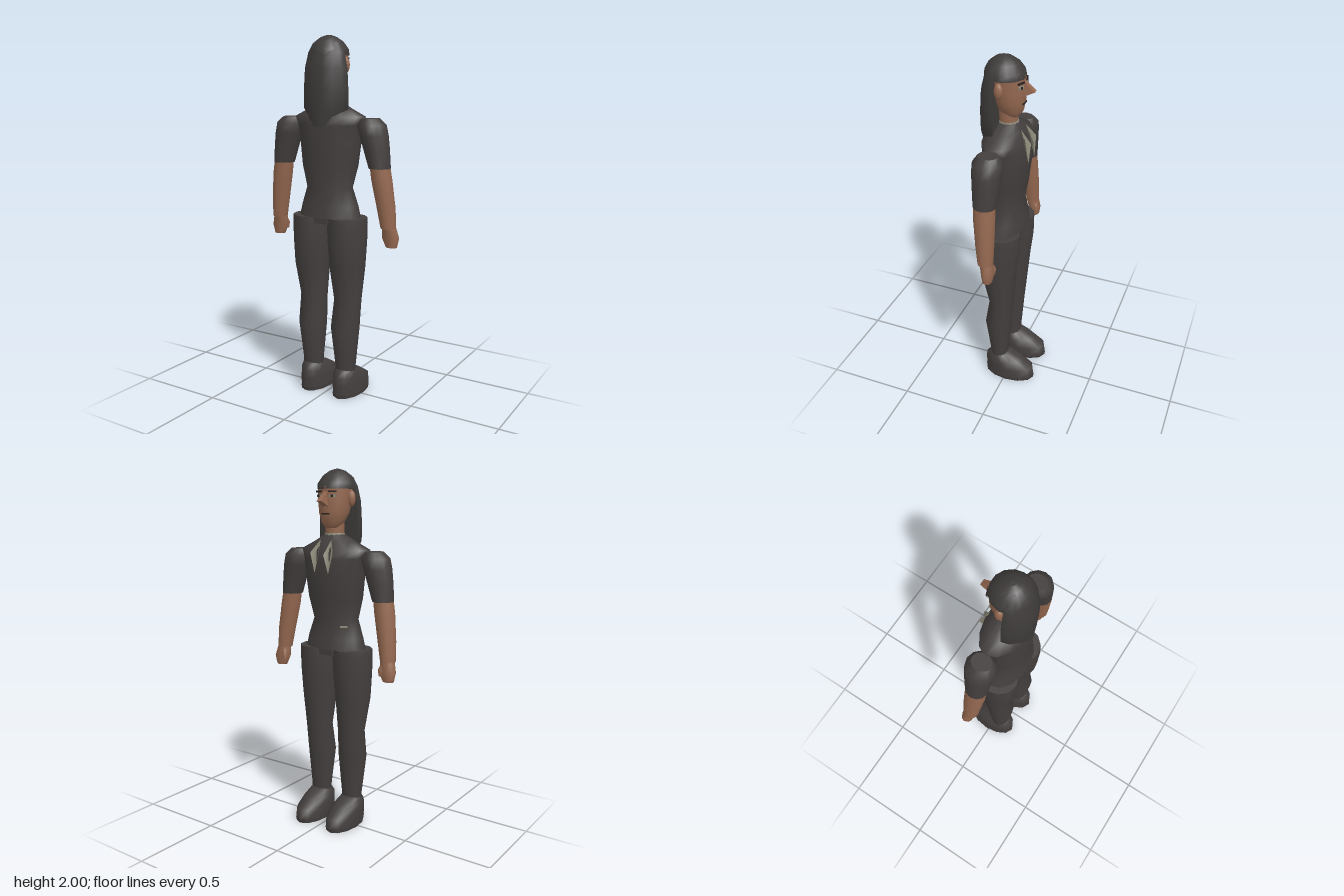
import * as THREE from 'three';
import { ConvexGeometry } from 'three/addons/geometries/ConvexGeometry.js';

const material = (name, color, side = THREE.FrontSide) => {
  const m = new THREE.MeshStandardMaterial({ color, side });
  m.name = name;
  return m;
};

// Stacks elliptical rings [cx, y, cz, rx, rz] from bottom to top; minZ flattens the -z side.
function loft(rings, sides = 12, minZ = -Infinity) {
  const pos = [], index = [];
  const addRing = ([cx, y, cz, rx, rz]) => {
    for (let j = 0; j < sides; j++) {
      const a = (j / sides) * Math.PI * 2;
      pos.push(cx + rx * Math.cos(a), y, Math.max(minZ, cz + rz * Math.sin(a)));
    }
  };
  rings.forEach(addRing);
  for (let i = 0; i < rings.length - 1; i++) {
    for (let j = 0; j < sides; j++) {
      const k = (j + 1) % sides, a = i * sides, b = a + sides;
      index.push(a + j, b + j, a + k, a + k, b + j, b + k);
    }
  }
  // Caps have their own vertices so that their rims stay sharp
  [rings[0], rings[rings.length - 1]].forEach((ring, top) => {
    const start = pos.length / 3;
    addRing(ring);
    pos.push(ring[0], ring[1], Math.max(minZ, ring[2]));
    for (let j = 0; j < sides; j++) {
      const k = (j + 1) % sides;
      index.push(start + sides, start + (top ? k : j), start + (top ? j : k));
    }
  });
  const g = new THREE.BufferGeometry();
  g.setAttribute('position', new THREE.Float32BufferAttribute(pos, 3));
  g.setIndex(index);
  g.computeVertexNormals();
  return g;
}

export function createModel() {
  const model = new THREE.Group();
  model.name = 'standingFigure';
  const cloth = material('darkCloth', 0x443f3f);
  const hairMat = material('darkHair', 0x3f3b3b);
  const skin = material('skin', 0x946850);
  const linen = material('linen', 0x8c8a78, THREE.DoubleSide);
  const ink = material('faceLines', 0x2a2222);

  const add = (name, geometry, mat, x = 0, y = 0, z = 0) => {
    const mesh = new THREE.Mesh(geometry, mat);
    mesh.name = name;
    mesh.position.set(x, y, z);
    model.add(mesh);
    return mesh;
  };

  // Torso with narrow waist and sloping shoulders
  add('torso', loft([
    [0, 1.03, 0.04, 0.185, 0.115], [0, 1.09, 0.04, 0.17, 0.109],
    [0, 1.19, 0.043, 0.135, 0.097], [0, 1.31, 0.038, 0.166, 0.112],
    [0, 1.45, 0.033, 0.182, 0.124], [0, 1.53, 0.036, 0.195, 0.12],
    [0, 1.575, 0.038, 0.215, 0.113], [0, 1.615, 0.036, 0.13, 0.086],
    [0, 1.655, 0.03, 0.056, 0.052],
  ], 14), cloth);
  add('crotch', new THREE.BoxGeometry(0.09, 0.06, 0.2), cloth, 0, 1.025, 0.04);

  // Neck, collar band and head
  add('neck', loft([[0, 1.6, 0.03, 0.05, 0.05], [0, 1.77, 0.03, 0.054, 0.052]]), skin);
  add('collarBand', loft([[0, 1.645, 0.03, 0.058, 0.056], [0, 1.662, 0.03, 0.055, 0.053]]), linen);
  add('head', loft([
    [0, 1.69, 0.0, 0.035, 0.027], [0, 1.72, 0.012, 0.064, 0.062],
    [0, 1.77, 0.024, 0.082, 0.084], [0, 1.83, 0.032, 0.093, 0.093],
    [0, 1.91, 0.036, 0.096, 0.096],
  ], 16), skin);
  const nose = [[0.008, 1.885, -0.054], [0.016, 1.832, -0.115], [0.02, 1.802, -0.054]];
  add('nose', new ConvexGeometry(nose.flatMap(([x, y, z]) =>
    [new THREE.Vector3(x, y, z), new THREE.Vector3(-x, y, z)])), skin);
  add('mouth', new THREE.BoxGeometry(0.048, 0.008, 0.008), ink, 0, 1.765, -0.057);

  // Hair: cap over the skull and long fall down the back
  add('hairCap', loft([
    [0, 1.895, 0.045, 0.106, 0.108], [0, 1.925, 0.046, 0.104, 0.105],
    [0, 1.965, 0.05, 0.078, 0.079], [0, 1.99, 0.052, 0.042, 0.044],
    [0, 2.0, 0.052, 0.012, 0.012],
  ], 14), hairMat);
  add('longHair', loft([
    [0, 1.525, 0.07, 0.08, 0.095], [0, 1.62, 0.07, 0.132, 0.102],
    [0, 1.72, 0.07, 0.132, 0.104], [0, 1.83, 0.07, 0.126, 0.097],
    [0, 1.91, 0.07, 0.108, 0.077], [0, 1.955, 0.07, 0.085, 0.055],
    [0, 1.985, 0.07, 0.045, 0.027],
  ], 14, 0.068), hairMat);

  // Small plate at the waist
  const plate = add('waistPlate', new THREE.BoxGeometry(0.04, 0.01, 0.008), linen, -0.1, 1.16, -0.028);
  plate.rotation.y = 0.7;

  for (const s of [1, -1]) {
    const side = s > 0 ? 'left' : 'right';
    const part = (name, rings, mat, sides) =>
      add(side + name, loft(rings.map(([x, ...r]) => [s * x, ...r]), sides), mat);

    part('Leg', [
      [0.108, 0.11, 0.05, 0.058, 0.05], [0.108, 0.18, 0.05, 0.06, 0.053],
      [0.108, 0.4, 0.055, 0.082, 0.077], [0.112, 0.56, 0.034, 0.079, 0.07],
      [0.115, 0.75, 0.045, 0.099, 0.1], [0.113, 0.9, 0.043, 0.107, 0.117],
      [0.112, 1.0, 0.042, 0.11, 0.118], [0.112, 1.03, 0.042, 0.108, 0.116],
    ], cloth);
    part('ShoeSole', [[0.107, 0, -0.015, 0.081, 0.152], [0.107, 0.022, -0.015, 0.084, 0.156]], cloth);
    part('Shoe', [
      [0.107, 0.022, -0.015, 0.082, 0.154], [0.107, 0.075, -0.012, 0.083, 0.152],
      [0.107, 0.12, 0.024, 0.075, 0.113], [0.108, 0.152, 0.045, 0.06, 0.068],
      [0.108, 0.162, 0.05, 0.05, 0.05],
    ], cloth);

    part('Sleeve', [
      [0.308, 1.31, 0.04, 0.058, 0.061], [0.288, 1.41, 0.04, 0.07, 0.07],
      [0.272, 1.48, 0.04, 0.077, 0.077], [0.258, 1.535, 0.04, 0.078, 0.08],
      [0.25, 1.57, 0.04, 0.047, 0.055],
    ], cloth);
    part('Forearm', [
      [0.355, 0.99, 0.022, 0.042, 0.042], [0.343, 1.1, 0.028, 0.05, 0.05],
      [0.32, 1.25, 0.038, 0.055, 0.058], [0.308, 1.33, 0.04, 0.053, 0.057],
    ], skin);
    part('Hand', [
      [0.368, 0.885, 0.008, 0.032, 0.026], [0.362, 0.935, 0.008, 0.051, 0.034],
      [0.355, 1.0, 0.018, 0.038, 0.036],
    ], skin, 10);
    part('Thumb', [
      [0.332, 0.915, -0.012, 0.012, 0.01], [0.333, 0.95, -0.012, 0.018, 0.016],
      [0.34, 0.985, 0, 0.012, 0.012],
    ], skin, 8);

    // Ears, eyes and brows
    add(side + 'Ear', new THREE.SphereGeometry(1, 10, 8), skin, s * 0.1, 1.845, 0.043).scale.set(0.02, 0.043, 0.024);
    const plates = [
      ['Eye', 0.036, 0.013, 1.858, -0.054, linen],
      ['Pupil', 0.012, 0.013, 1.858, -0.057, ink],
      ['Brow', 0.046, 0.008, 1.881, -0.055, ink],
    ];
    for (const [name, w, h, y, z, mat] of plates) {
      add(side + name, new THREE.BoxGeometry(w, h, 0.008), mat, s * 0.043, y, z).rotation.y = -s * 0.35;
    }

    // Open collar point standing off the chest
    const lapel = new THREE.BufferGeometry();
    lapel.setAttribute('position', new THREE.Float32BufferAttribute([
      s * 0.035, 1.63, -0.052, s * 0.075, 1.56, -0.095,
      s * 0.045, 1.45, -0.097, s * 0.016, 1.55, -0.1,
    ], 3));
    lapel.setIndex(s > 0 ? [0, 1, 2, 0, 2, 3] : [0, 2, 1, 0, 3, 2]);
    lapel.computeVertexNormals();
    add(side + 'Lapel', lapel, linen);
  }
  return model;
}
